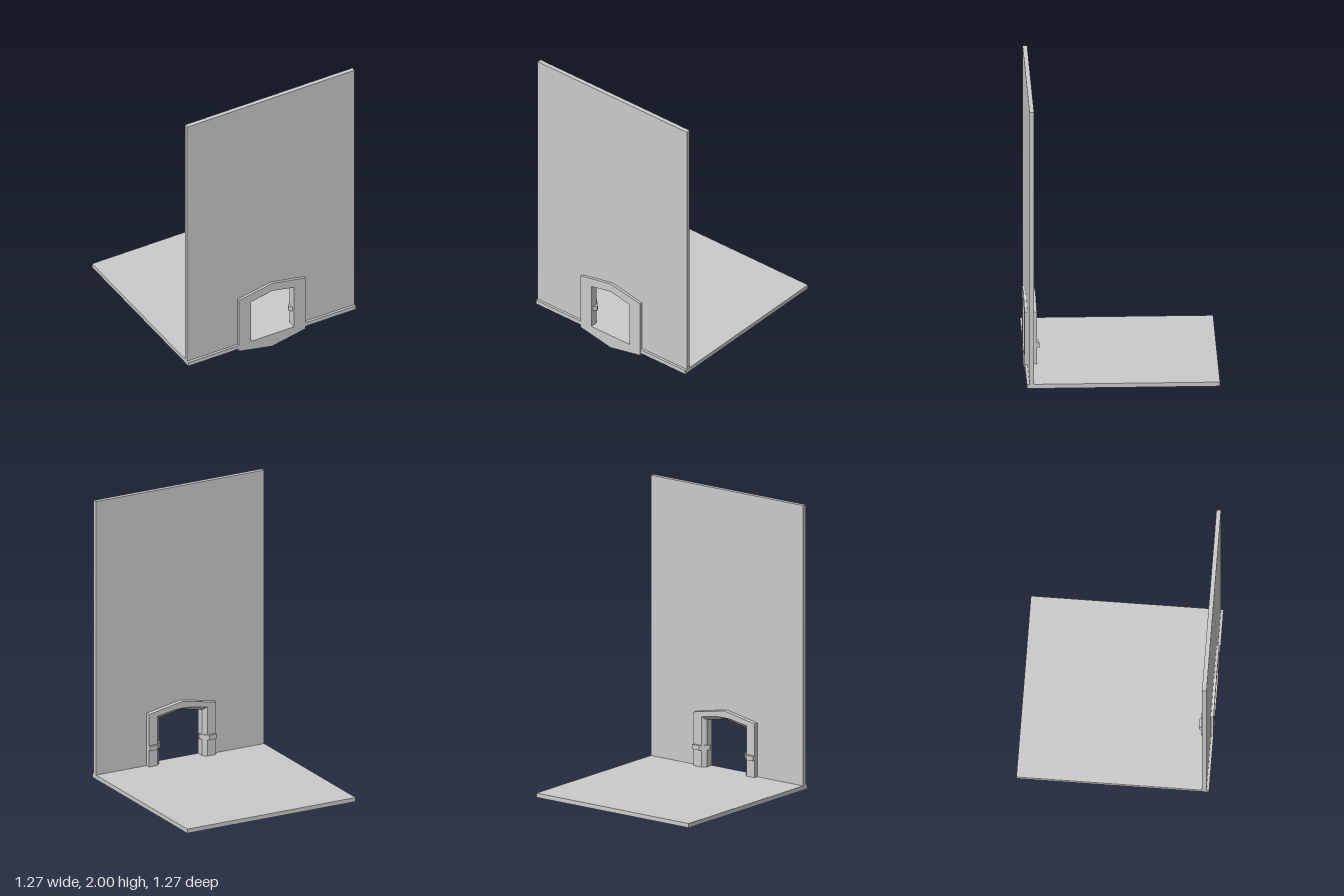
import * as THREE from 'three';

const material = new THREE.MeshStandardMaterial({ color: 0xcccccc });
const HALF = 0.634;               // half width of wall and floor
const FLOOR_BOTTOM = 0.068, FLOOR_TOP = 0.097;
const FRAME_BACK = 0.555, FRAME_FRONT = 0.635, BEVEL = 0.025;

const points = (list) => list.map(([x, y]) => new THREE.Vector2(x, y));

function addMesh(group, name, geometry) {
  const mesh = new THREE.Mesh(geometry, material);
  mesh.name = name;
  group.add(mesh);
  return mesh;
}

// Door frame: six-sided plate with a gabled opening, bevelled on its rear edge
function frameGeometry() {
  const shape = new THREE.Shape(points([
    [-0.253, 0.05], [0, 0], [0.253, 0.05], [0.253, 0.462], [0, 0.51], [-0.253, 0.462],
  ]));
  shape.holes.push(new THREE.Path(points([
    [-0.163, FLOOR_TOP], [-0.163, 0.417], [0, 0.449], [0.163, 0.417], [0.163, FLOOR_TOP],
  ])));
  const depth = FRAME_FRONT - FRAME_BACK;
  const geometry = new THREE.ExtrudeGeometry(shape, { depth, steps: 2, bevelEnabled: false });
  const p = geometry.attributes.position;
  for (let i = 0; i < p.count; i++) {
    const x = p.getX(i), y = p.getY(i), z = p.getZ(i);
    const onOpening = Math.abs(x) < 0.2 && y > 0.05 && y < 0.46;
    if (z < 0.01 && onOpening) {
      p.setX(i, x + Math.sign(Math.round(x * 100)) * BEVEL);
      if (y > 0.2) p.setY(i, y + 0.022);
    } else if (z > 0.01 && z < depth - 0.01) {
      p.setZ(i, BEVEL);
    }
  }
  geometry.translate(0, 0, FRAME_BACK);
  geometry.computeVertexNormals();
  return geometry;
}

// Clip band around a post: plan outline in (x, z), extruded upwards
function clipGeometry(side) {
  const plan = [
    [0.253, 0.539], [0.195, 0.539], [0.145, 0.589], [0.145, 0.597], [0.163, 0.615], [0.2, 0.6], [0.253, 0.57],
  ].map(([x, z]) => [side * x, -z]);
  const geometry = new THREE.ExtrudeGeometry(new THREE.Shape(points(plan)), { depth: 0.033, bevelEnabled: false });
  return geometry.rotateX(-Math.PI / 2).translate(0, 0.212, 0);
}

export function createModel() {
  const model = new THREE.Group();
  model.name = 'wallWithDoorway';

  // Floor slab
  const floor = addMesh(model, 'floor', new THREE.BoxGeometry(2 * HALF, FLOOR_TOP - FLOOR_BOTTOM, 2 * HALF));
  floor.position.y = (FLOOR_BOTTOM + FLOOR_TOP) / 2;

  // Back wall, notched where the door frame sits
  const wallShape = new THREE.Shape(points([
    [-HALF, FLOOR_TOP], [-0.24, FLOOR_TOP], [-0.24, 0.452], [0, 0.497], [0.24, 0.452],
    [0.24, FLOOR_TOP], [HALF, FLOOR_TOP], [HALF, 2], [-HALF, 2],
  ]));
  const wall = addMesh(model, 'wall', new THREE.ExtrudeGeometry(wallShape, { depth: 0.03, bevelEnabled: false }));
  wall.position.z = 0.587;

  // Doorway
  const doorway = new THREE.Group();
  doorway.name = 'doorway';
  model.add(doorway);
  addMesh(doorway, 'doorFrame', frameGeometry());
  addMesh(doorway, 'leftClip', clipGeometry(1));
  addMesh(doorway, 'rightClip', clipGeometry(-1));
  return model;
}
